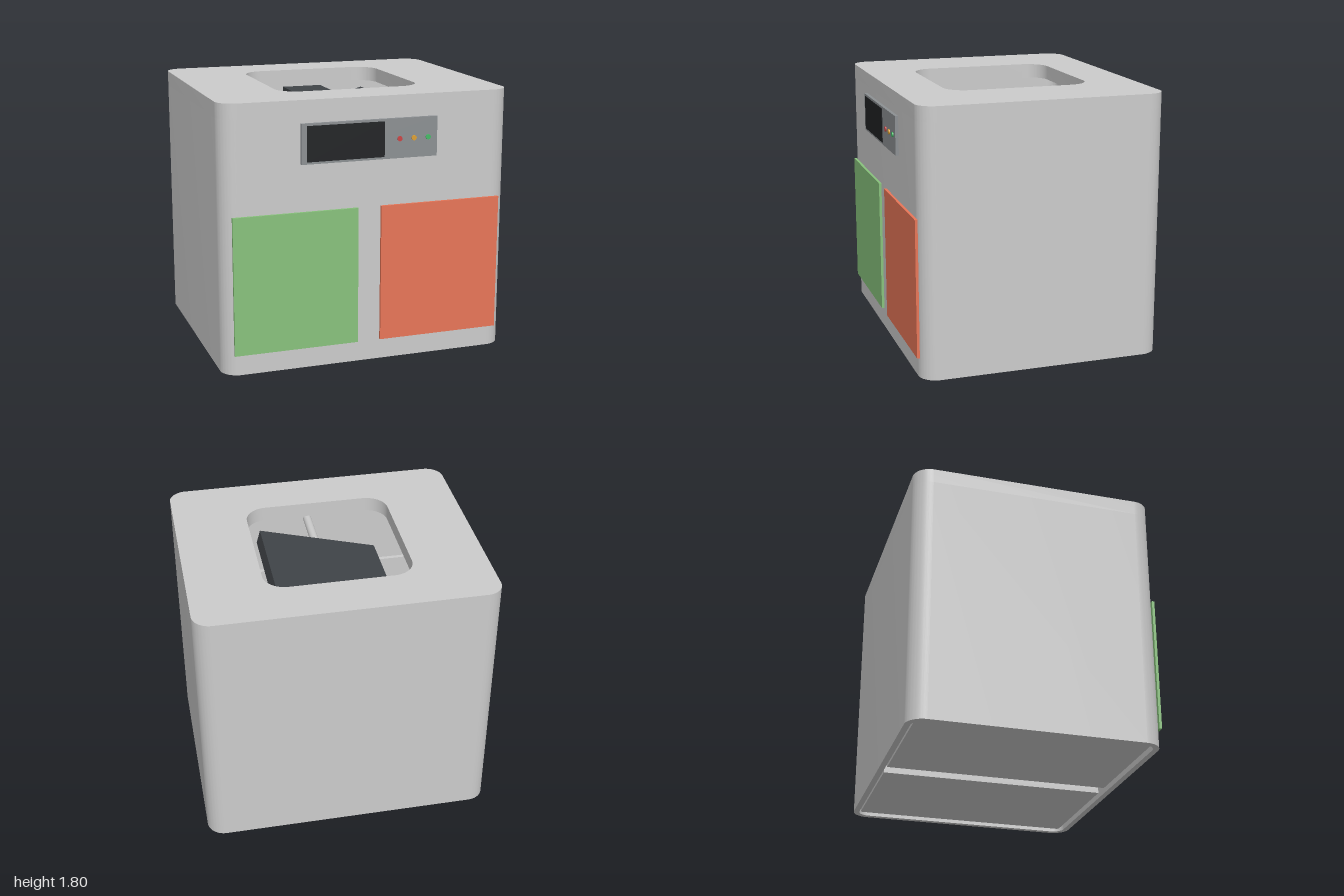
import * as THREE from 'three';
import { toCreasedNormals } from 'three/addons/utils/BufferGeometryUtils.js';

const paint = (color) => new THREE.MeshStandardMaterial({ color });
const grey = paint(0xcccccc);
const dark = paint(0x404448);
const black = paint(0x202224);
const steel = paint(0x9aa0a4);

// Rounded rectangle outline between two corners
function roundedRect(target, x0, y0, x1, y1, r) {
  target.moveTo(x0 + r, y0);
  target.lineTo(x1 - r, y0);
  target.absarc(x1 - r, y0 + r, r, -Math.PI / 2, 0, false);
  target.lineTo(x1, y1 - r);
  target.absarc(x1 - r, y1 - r, r, 0, Math.PI / 2, false);
  target.lineTo(x0 + r, y1);
  target.absarc(x0 + r, y1 - r, r, Math.PI / 2, Math.PI, false);
  target.lineTo(x0, y0 + r);
  target.absarc(x0 + r, y0 + r, r, Math.PI, Math.PI * 1.5, false);
  return target;
}

// Upright ring: outer and hole are [x0, z0, x1, z1, radius]
function ring(name, outer, hole, y0, y1) {
  const flip = ([x0, z0, x1, z1, r]) => [x0, -z1, x1, -z0, r];
  const shape = roundedRect(new THREE.Shape(), ...flip(outer));
  shape.holes.push(roundedRect(new THREE.Path(), ...flip(hole)));
  const geo = new THREE.ExtrudeGeometry(shape, { depth: y1 - y0, bevelEnabled: false, curveSegments: 12 });
  geo.rotateX(-Math.PI / 2).translate(0, y0, 0);
  const mesh = new THREE.Mesh(toCreasedNormals(geo, Math.PI / 6), grey);
  mesh.name = name;
  return mesh;
}

// Box given by its minimum and maximum corners
function box(name, [x0, y0, z0], [x1, y1, z1], material) {
  const mesh = new THREE.Mesh(new THREE.BoxGeometry(x1 - x0, y1 - y0, z1 - z0), material);
  mesh.position.set((x0 + x1) / 2, (y0 + y1) / 2, (z0 + z1) / 2);
  mesh.name = name;
  return mesh;
}

// Cylinder lying along z
function rod(name, x, y, z0, z1, r, material) {
  const geo = new THREE.CylinderGeometry(r, r, z1 - z0, 24).rotateX(Math.PI / 2);
  const mesh = new THREE.Mesh(geo, material);
  mesh.position.set(x, y, (z0 + z1) / 2);
  mesh.name = name;
  return mesh;
}

export function createModel() {
  const model = new THREE.Group();
  model.name = 'sortingBin';

  // Hollow housing, open below, with the drop opening in its lid
  const outline = [-1, -0.85, 1, 0.82, 0.12];
  model.add(ring('housingWall', outline, [-0.96, -0.81, 0.96, 0.78, 0.08], 0, 1.7));
  model.add(ring('housingLid', outline, [-0.5, -0.52, 0.5, 0.485, 0.15], 1.7, 1.8));

  // Two open containers with a slot between them
  for (const side of [-1, 1]) {
    const bin = new THREE.Group();
    bin.name = side > 0 ? 'leftContainer' : 'rightContainer';
    const w = 0.445, z0 = -0.79, z1 = 0.76, t = 0.03, y0 = 0.02, y1 = 1.1;
    bin.add(box('containerFloor', [-w, y0, z0], [w, y0 + t, z1], grey));
    bin.add(box('containerSide', [-w, y0 + t, z0], [-w + t, y1, z1], grey));
    bin.add(box('containerSide', [w - t, y0 + t, z0], [w, y1, z1], grey));
    bin.add(box('containerBack', [-w + t, y0 + t, z0], [w - t, y1, z0 + t], grey));
    bin.add(box('containerFront', [-w + t, y0 + t, z1 - t], [w - t, y1, z1], grey));
    bin.position.x = side * 0.5;
    model.add(bin);
  }

  // Coloured front doors
  model.add(box('leftDoor', [0.08, 0.14, 0.82], [0.93, 1.07, 0.838], paint(0xe87658)));
  model.add(box('rightDoor', [-0.93, 0.14, 0.82], [-0.08, 1.07, 0.838], paint(0x88c27c)));

  // Control panel with display and indicator lights
  model.add(box('controlPanel', [-0.47, 1.385, 0.82], [0.465, 1.65, 0.842], paint(0x8c9093)));
  model.add(box('display', [-0.435, 1.4, 0.83], [0.095, 1.635, 0.846], black));
  [0xcc4444, 0xdda033, 0x44bb66].forEach((color, i) => {
    model.add(rod('indicatorLight', 0.2 + i * 0.1, 1.515, 0.835, 0.85, 0.017, paint(color)));
  });

  // Tilting flap on its shaft
  const flap = box('tiltingFlap', [-0.43, 1.45, -0.45], [0.43, 1.55, 0.415], dark);
  flap.rotation.z = Math.PI / 12;
  model.add(flap);
  model.add(rod('frontShaft', 0, 1.5, 0.41, 0.78, 0.03, grey));
  model.add(rod('rearShaft', 0, 1.5, -0.58, -0.445, 0.03, steel));

  // Motor that turns the flap, fixed to the back wall
  const motor = new THREE.Group();
  motor.name = 'flapMotor';
  motor.add(box('motorBody', [-0.1, 1.38, -0.81], [0.2, 1.63, -0.56], dark));
  motor.add(box('motorBracket', [-0.16, 1.42, -0.66], [0.26, 1.58, -0.62], dark));
  motor.add(rod('motorCollar', 0, 1.5, -0.57, -0.54, 0.05, steel));
  model.add(motor);

  return model;
}
